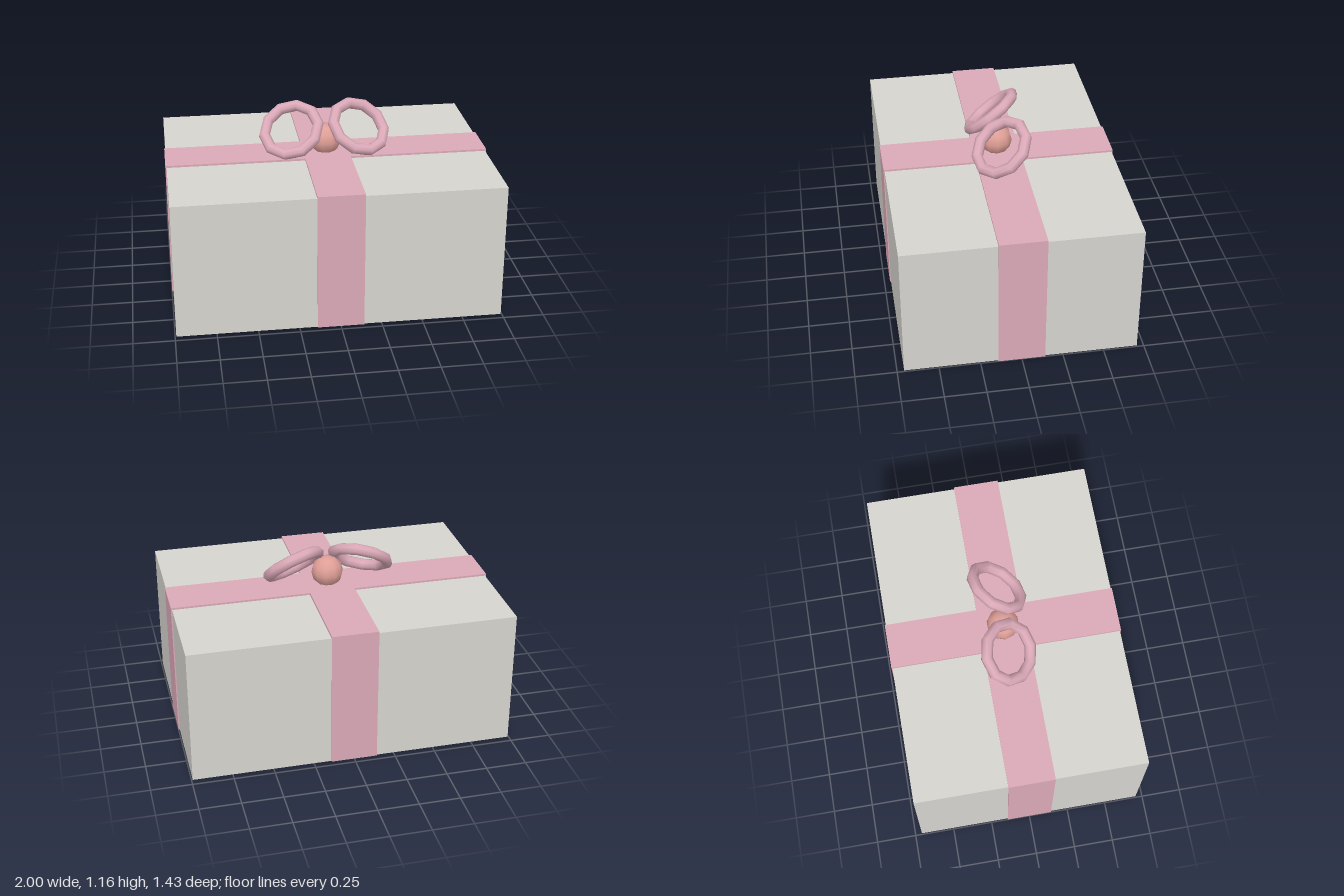
import * as THREE from 'three';

const mat = (color) => new THREE.MeshStandardMaterial({ color });

function part(name, geometry, material, x, y, z) {
  const mesh = new THREE.Mesh(geometry, material);
  mesh.name = name;
  mesh.position.set(x, y, z);
  return mesh;
}

export function createModel() {
  const group = new THREE.Group();
  group.name = 'giftBox';
  const paper = mat(0xd6d4cf);
  const pink = mat(0xdba9b8);
  const coral = mat(0xdf9f97);

  // Wrapped box, its base just above the ribbon's underside
  const boxHeight = 0.853;
  group.add(part('box', new THREE.BoxGeometry(1.986, boxHeight, 1.416), paper, 0, 0.002 + boxHeight / 2, 0));

  // Both ribbon bands as one upright cross
  const w = 0.142, lx = 1, lz = 0.714;
  const cross = new THREE.Shape([
    [lx, -w], [lx, w], [w, w], [w, lz], [-w, lz], [-w, w],
    [-lx, w], [-lx, -w], [-w, -w], [-w, -lz], [w, -lz], [w, -w],
  ].map(([x, y]) => new THREE.Vector2(x, y)));
  const ribbon = new THREE.ExtrudeGeometry(cross, { depth: 0.867, bevelEnabled: false });
  ribbon.rotateX(-Math.PI / 2);
  group.add(part('ribbon', ribbon, pink, 0, 0, 0));

  // Bow: a knot with a tilted loop on each side
  const bow = new THREE.Group();
  bow.name = 'bow';
  bow.add(part('knot', new THREE.SphereGeometry(0.1, 10, 6), coral, 0, 0.937, 0));
  for (const side of [1, -1]) {
    const loop = part(side > 0 ? 'leftLoop' : 'rightLoop',
      new THREE.TorusGeometry(0.173, 0.036, 8, 10), pink, side * 0.212, 1.007, 0);
    loop.rotation.set(-0.918, side * 0.32, 0);
    bow.add(loop);
  }
  group.add(bow);
  return group;
}
